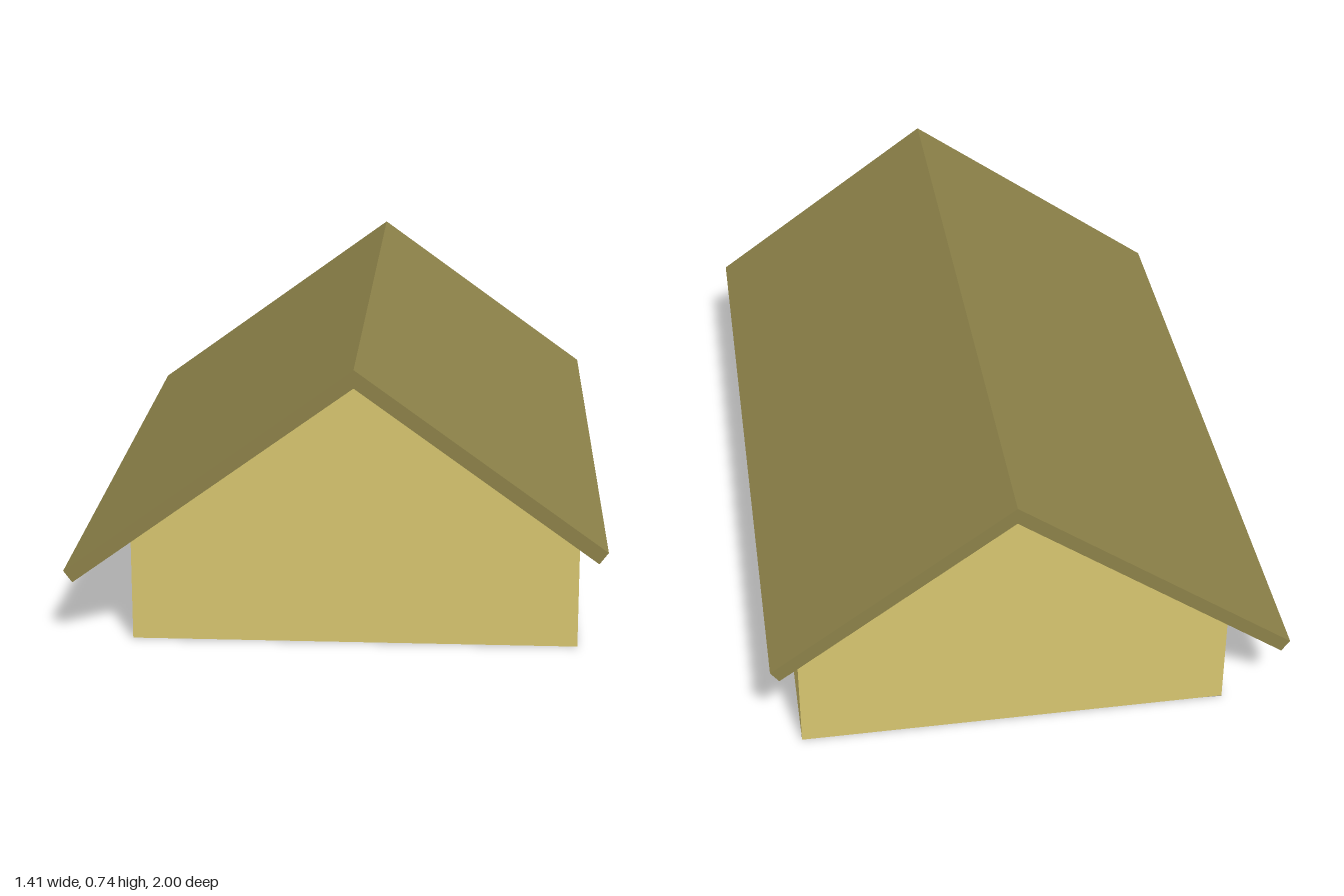
import * as THREE from 'three';

// Extrudes an x-y outline along z, centred on z = 0
function prism(name, outline, length, color) {
  const shape = new THREE.Shape(outline.map(([x, y]) => new THREE.Vector2(x, y)));
  const geometry = new THREE.ExtrudeGeometry(shape, { depth: length, bevelEnabled: false });
  geometry.translate(0, 0, -length / 2);
  const mesh = new THREE.Mesh(geometry, new THREE.MeshStandardMaterial({ color, flatShading: true }));
  mesh.name = name;
  return mesh;
}

export function createModel() {
  const group = new THREE.Group();
  group.name = 'gabledBuilding';

  // Walls with both gables, ridge slightly off centre
  group.add(prism('walls', [
    [-0.528, 0.002], [0.63, 0.002], [0.63, 0.268], [0.05, 0.69], [-0.528, 0.268],
  ], 1.98, 0xd8c670));

  // Roof slab with uneven eaves
  group.add(prism('roof', [
    [-0.705, 0.187], [-0.682, 0.156], [0.05, 0.688],
    [0.68, 0.232], [0.703, 0.263], [0.05, 0.736],
  ], 2, 0x8d8249));

  // Grey floor, set in from the walls at three corners
  const floorShape = new THREE.Shape([
    [-0.528, 0.99], [-0.49, -0.95], [0.592, -0.95], [0.592, 0.95],
  ].map(([x, y]) => new THREE.Vector2(x, y)));
  const floor = new THREE.Mesh(
    new THREE.ShapeGeometry(floorShape).rotateX(-Math.PI / 2),
    new THREE.MeshStandardMaterial({ color: 0x8a8a8a, side: THREE.DoubleSide }),
  );
  floor.name = 'floor';
  group.add(floor);

  return group;
}
